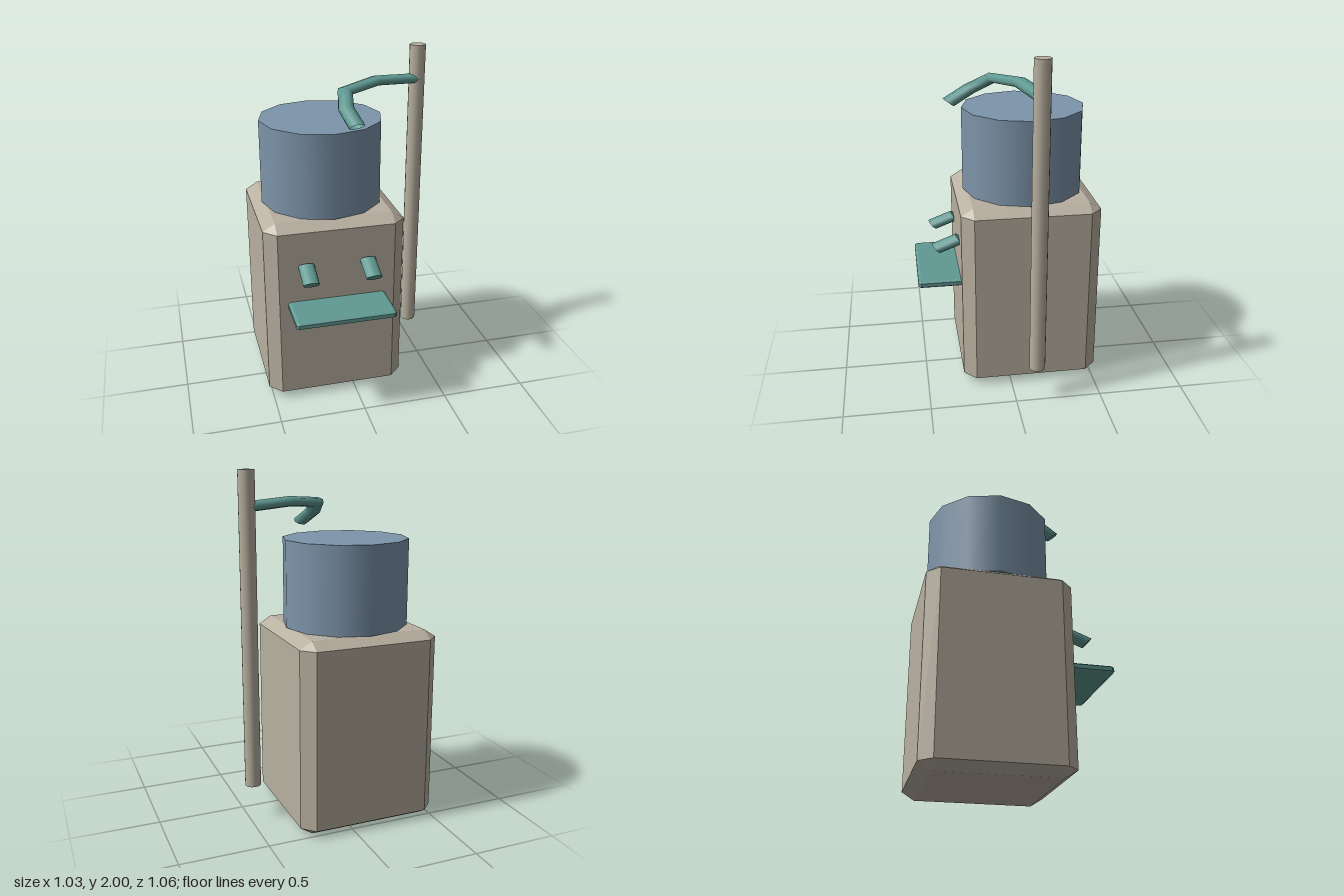
import * as THREE from 'three';
import { ConvexGeometry } from 'three/addons/geometries/ConvexGeometry.js';

const SQUASH = 0.63; // the whole model is flattened vertically by this factor
const CX = -0.11, CZ = -0.125; // axis of body and tank

const stone = new THREE.MeshStandardMaterial({ name: 'warm grey', color: 0xb8b0a0 });
const blue = new THREE.MeshStandardMaterial({ name: 'slate blue', color: 0x7d95aa });
const teal = new THREE.MeshStandardMaterial({ name: 'teal', color: 0x609a93, side: THREE.DoubleSide });

// Box with flat chamfers on every edge
function chamferBox(w, h, d, c) {
  const pts = [];
  for (const sx of [-1, 1]) for (const sy of [-1, 1]) for (const sz of [-1, 1]) {
    for (let full = 0; full < 3; full++) {
      const [x, y, z] = [w, h, d].map((s, i) => s / 2 - (i === full ? 0 : c));
      pts.push(new THREE.Vector3(sx * x, sy * y, sz * z));
    }
  }
  return new ConvexGeometry(pts);
}

export function createModel() {
  const model = new THREE.Group();
  model.name = 'model';
  model.scale.y = SQUASH;

  // y values are given as final heights and divided by the squash
  const at = (x, y, z) => new THREE.Vector3(x, y / SQUASH, z);
  const add = (name, geometry, material, position) => {
    const mesh = new THREE.Mesh(geometry, material);
    mesh.name = name;
    if (position) mesh.position.copy(position);
    model.add(mesh);
    return mesh;
  };

  add('body', chamferBox(0.82, 1.12 / SQUASH, 0.81, 0.07), stone, at(CX, 0.56, CZ));
  add('tank', new THREE.CylinderGeometry(0.36, 0.36, 0.495 / SQUASH, 12), blue, at(CX, 1.3675, CZ));
  add('pole', new THREE.CylinderGeometry(0.047, 0.047, 1.8 / SQUASH, 12), stone, at(0.468, 1.1, CZ));
  add('mouth', chamferBox(0.575, 0.042 / SQUASH, 0.38, 0.015), teal, at(CX - 0.003, 0.63, 0.34));

  // Eyes: short cylinders sloping down and forward
  for (const side of [-1, 1]) {
    const start = at(CX + side * 0.18, 0.872, 0.275);
    const end = at(CX + side * 0.18, 0.819, 0.414);
    const dir = end.clone().sub(start);
    const eye = add(side > 0 ? 'leftEye' : 'rightEye',
      new THREE.CylinderGeometry(0.047, 0.047, dir.length(), 12), teal,
      start.clone().add(end).multiplyScalar(0.5));
    eye.quaternion.setFromUnitVectors(new THREE.Vector3(0, 1, 0), dir.normalize());
  }

  // Arm: open tube with one straight section between each pair of points
  const path = new THREE.CatmullRomCurve3([
    at(0.468, 1.803, -0.125), at(0.2, 1.82, -0.055), at(-0.012, 1.802, 0.07),
    at(-0.038, 1.74, 0.19), at(-0.01, 1.672, 0.315),
  ]);
  path.getPointAt = (t, target) => path.getPoint(t, target);
  path.getTangentAt = (t, target) => path.getTangent(t, target);
  add('arm', new THREE.TubeGeometry(path, 4, 0.046, 8, false), teal);

  return model;
}
